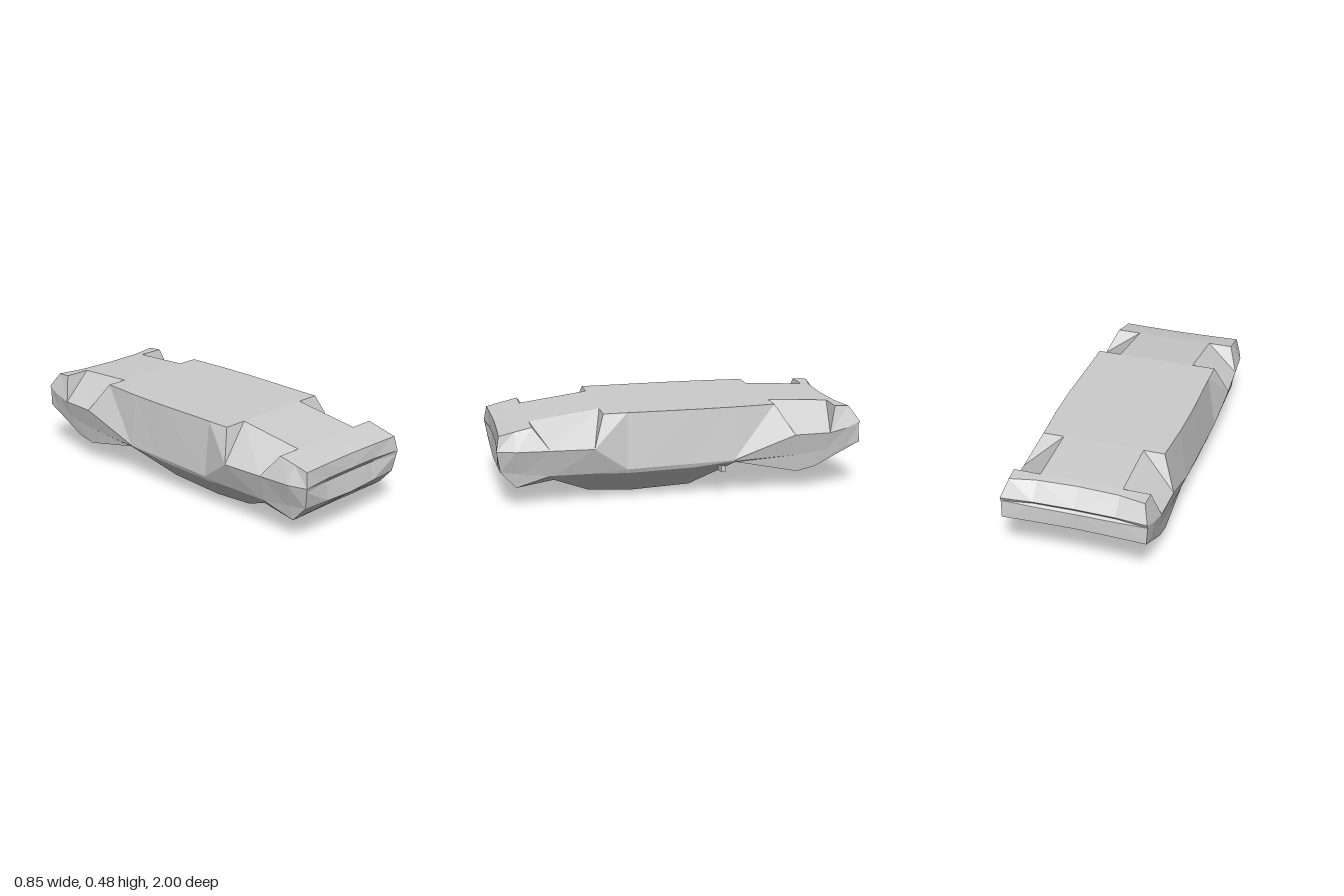
import * as THREE from 'three';

const grey = new THREE.MeshStandardMaterial({ color: 0xcccccc, flatShading: true });
grey.name = 'plain grey';

// Joins neighbouring rails with faces and mirrors them across x = 0
function skin(name, rails) {
  const pos = [];
  const tri = (a, b, c) => {
    const area = new THREE.Triangle(...[a, b, c].map(p => new THREE.Vector3(...p))).getArea();
    if (area < 1e-7) return;
    pos.push(...a, ...b, ...c);
    for (const p of [a, c, b]) pos.push(-p[0], p[1], p[2]);
  };
  for (let j = 0; j < rails.length - 1; j++) {
    for (let i = 0; i < rails[j].length - 1; i++) {
      const a = rails[j][i], b = rails[j][i + 1], c = rails[j + 1][i], d = rails[j + 1][i + 1];
      tri(a, c, b);
      tri(b, c, d);
    }
  }
  const geo = new THREE.BufferGeometry();
  geo.setAttribute('position', new THREE.Float32BufferAttribute(pos, 3));
  geo.computeVertexNormals();
  const mesh = new THREE.Mesh(geo, grey);
  mesh.name = name;
  return mesh;
}

// Rails of the overturned car body, nose to tail; repeated stations form the wheel arch walls
const floorCentre = [
  [0, .39, .975], [0, .41, .9], [0, .43, .81], [0, .43, .81], [0, .48, .43], [0, .48, .43], [0, .48, .3],
  [0, .48, -.06], [0, .48, -.28], [0, .48, -.52], [0, .48, -.52], [0, .46, -.86], [0, .46, -.86],
  [0, .455, -.9], [0, .37, -.98],
];
const archInner = [
  [.22, .39, .98], [.22, .41, .9], [.22, .43, .81], [.22, .43, .81], [.22, .48, .43], [.22, .48, .43], [.22, .48, .3],
  [.22, .48, -.06], [.22, .48, -.28], [.22, .48, -.52], [.22, .48, -.52], [.22, .46, -.86], [.22, .46, -.86],
  [.22, .455, -.91], [.22, .37, -.985],
];
const floorEdge = [
  [.35, .39, .985], [.352, .41, .9], [.355, .43, .81], [.41, .31, .72], [.425, .31, .49], [.35, .48, .43], [.35, .48, .3],
  [.355, .48, -.06], [.35, .48, -.28], [.335, .48, -.52], [.415, .32, -.62], [.41, .32, -.82], [.365, .46, -.86],
  [.36, .455, -.94], [.39, .37, -1],
];
const belt = [
  [.365, .31, 1], [.397, .31, .9], [.41, .31, .72], [.41, .31, .72], [.425, .31, .49], [.425, .31, .49], [.392, .18, .31],
  [.392, .188, -.06], [.39, .192, -.28], [.415, .32, -.62], [.415, .32, -.62], [.41, .32, -.82], [.41, .32, -.82],
  [.402, .34, -.92], [.39, .348, -.99],
];
const shoulder = [
  [.35, .193, .98], [.362, .182, .88], [.375, .165, .72], [.375, .165, .7], [.38, .165, .5], [.38, .165, .5], [.383, .157, .31],
  [.385, .165, -.06], [.387, .185, -.28], [.39, .2, -.62], [.39, .2, -.62], [.39, .218, -.8], [.39, .218, -.8],
  [.388, .24, -.92], [.385, .255, -1],
];
const deckEdge = [
  [.35, .193, .98], [.35, .105, .9], [.345, .135, .7], [.345, .135, .7], [.25, .038, .5], [.25, .038, .5], [.25, .022, .27],
  [.25, .035, -.06], [.38, .18, -.29], [.38, .105, -.64], [.38, .105, -.64], [.38, .125, -.74], [.38, .125, -.74],
  [.382, .2, -.89], [.385, .255, -1],
];
const deckCentre = [
  [0, .18, .985], [0, .093, .88], [0, .13, .7], [0, .13, .7], [0, .025, .5], [0, .025, .5], [0, 0, .27],
  [0, .014, -.08], [0, .175, -.3], [0, .096, -.64], [0, .096, -.64], [0, .12, -.74], [0, .12, -.74],
  [0, .195, -.88], [0, .25, -.98],
];

// Nose rows, top to bottom, with a shallow groove under the lip
const noseRows = [
  [[0, .39, .975], [.22, .39, .98], [.35, .39, .985]],
  [[0, .312, .985], [.18, .312, .985], [.365, .31, 1]],
  [[0, .287, .965], [.18, .287, .968], [.363, .29, .996]],
  [[0, .18, .985], [.18, .186, .983], [.35, .193, .98]],
];
// Tail rows, bottom to top
const tailRows = [
  [[0, .25, -.98], [.22, .253, -.99], [.385, .255, -1]],
  [[0, .338, -.978], [.22, .342, -.985], [.39, .348, -.99]],
  [[0, .352, -.965], [.22, .355, -.973], [.39, .349, -.99]],
  [[0, .37, -.98], [.22, .37, -.985], [.39, .37, -1]],
];

export function createModel() {
  const car = new THREE.Group();
  car.name = 'overturnedCarBody';
  car.add(
    skin('floorAndWheelArches', [floorCentre, archInner, floorEdge]),
    skin('bodySides', [floorEdge, belt, shoulder]),
    skin('hoodCabinAndTrunk', [shoulder, deckEdge, deckCentre]),
    skin('nose', noseRows),
    skin('tail', tailRows),
  );

  // Single wing mirror
  const mirror = new THREE.Mesh(new THREE.BoxGeometry(.042, .034, .022), grey);
  mirror.name = 'wingMirror';
  mirror.position.set(.393, .154, -.21);
  mirror.rotation.set(0, .2, .1);
  car.add(mirror);
  return car;
}
